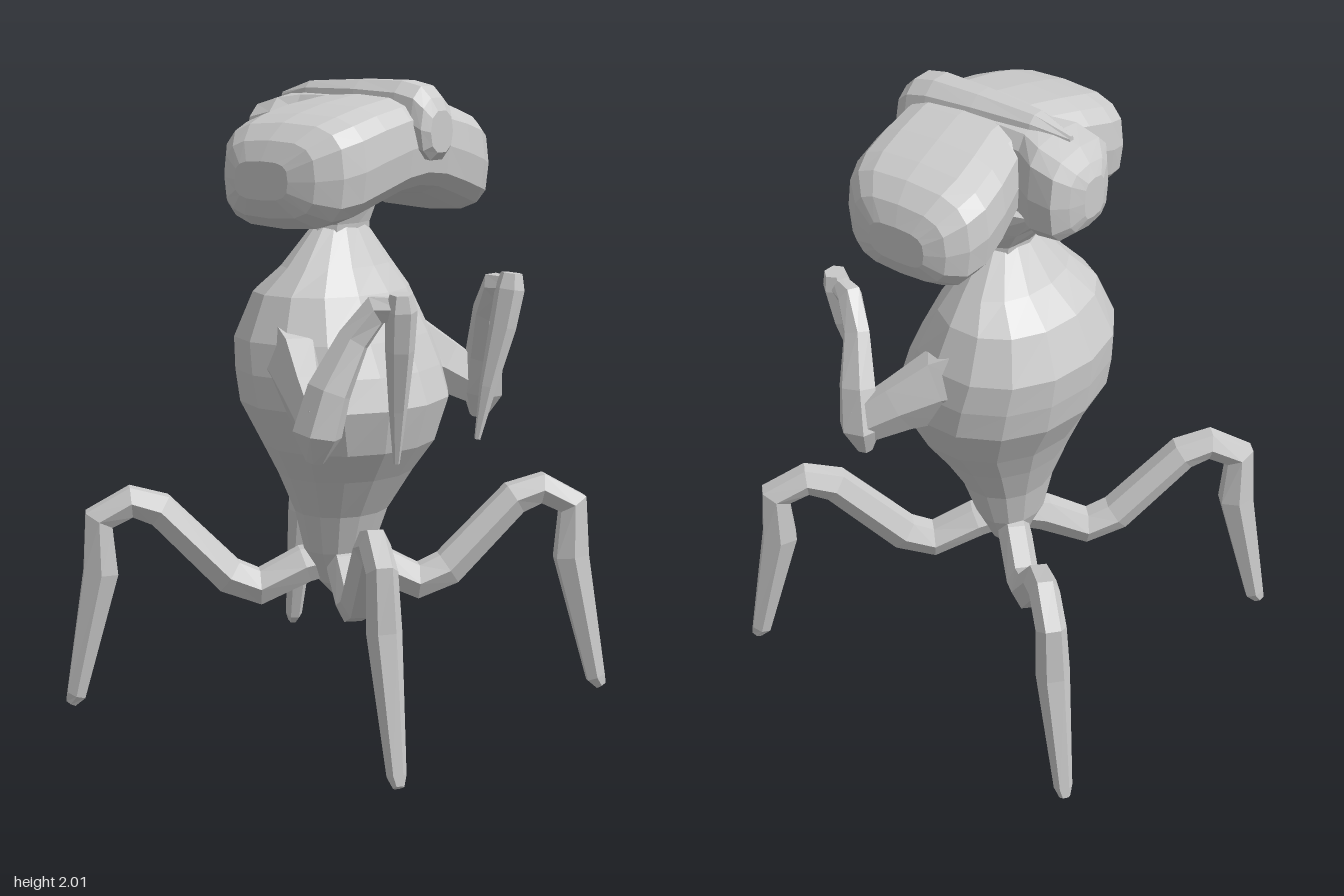
import * as THREE from 'three';

const grey = new THREE.MeshStandardMaterial({ color: 0xcccccc, flatShading: true });
const V = (x, y, z) => new THREE.Vector3(x, y, z);

// Skin a list of equal-sized rings and close both ends with a fan.
function loft(name, rings) {
  const pos = [];
  const tri = (...pts) => pts.forEach((p) => pos.push(p.x, p.y, p.z));
  const n = rings[0].length;
  for (let i = 0; i < rings.length - 1; i++) {
    for (let j = 0; j < n; j++) {
      const k = (j + 1) % n;
      const a = rings[i][j], b = rings[i][k], c = rings[i + 1][k], d = rings[i + 1][j];
      tri(a, b, c);
      tri(a, c, d);
    }
  }
  const center = (ring) => ring.reduce((s, p) => s.add(p), V(0, 0, 0)).divideScalar(n);
  const first = rings[0], last = rings[rings.length - 1];
  const c0 = center(first), c1 = center(last);
  for (let j = 0; j < n; j++) {
    const k = (j + 1) % n;
    tri(c0, first[k], first[j]);
    tri(c1, last[j], last[k]);
  }
  const geo = new THREE.BufferGeometry();
  geo.setAttribute('position', new THREE.Float32BufferAttribute(pos, 3));
  geo.computeVertexNormals();
  const mesh = new THREE.Mesh(geo, grey);
  mesh.name = name;
  return mesh;
}

// Rounded-square section between [a0,a1] and [b0,b1]; power 2 is an ellipse.
function section(a0, a1, b0, b1, sides, power, place) {
  const f = (t) => Math.sign(t) * Math.abs(t) ** (2 / power);
  return Array.from({ length: sides }, (_, j) => {
    const t = (j / sides) * Math.PI * 2;
    return place(
      (a0 + a1) / 2 + (f(Math.cos(t)) * (a1 - a0)) / 2,
      (b0 + b1) / 2 + (f(Math.sin(t)) * (b1 - b0)) / 2
    );
  });
}

// Jointed limb: rows of x, y, z, radius; side keeps the sections untwisted.
function limb(name, rows, side, flatten = 1) {
  const sides = 6;
  const pts = rows.map((r) => V(r[0], r[1], r[2]));
  const rings = pts.map((p, i) => {
    const t = V(0, 0, 0);
    if (i > 0) t.add(p.clone().sub(pts[i - 1]).normalize());
    if (i < pts.length - 1) t.add(pts[i + 1].clone().sub(p).normalize());
    t.normalize();
    const u = side.clone().addScaledVector(t, -side.dot(t)).normalize();
    const v = t.clone().cross(u);
    return Array.from({ length: sides }, (_, j) => {
      const a = (j / sides) * Math.PI * 2, r = rows[i][3];
      return p.clone().addScaledVector(u, Math.cos(a) * r * flatten).addScaledVector(v, Math.sin(a) * r);
    });
  });
  return loft(name, rings);
}

export function createModel() {
  const model = new THREE.Group();

  // Pear-shaped body: y, half width, back z, front z
  const body = [
    [0.33, 0.01, -0.01, 0.01], [0.39, 0.07, -0.06, 0.06], [0.5, 0.125, -0.105, 0.105],
    [0.63, 0.165, -0.13, 0.15], [0.76, 0.235, -0.175, 0.23], [0.86, 0.3, -0.215, 0.3],
    [1.0, 0.36, -0.29, 0.34], [1.1, 0.36, -0.305, 0.305], [1.2, 0.345, -0.312, 0.26],
    [1.34, 0.285, -0.25, 0.19], [1.42, 0.215, -0.155, 0.135], [1.54, 0.11, -0.07, 0.07],
  ];
  model.add(loft('body', body.map(([y, w, b, f]) =>
    section(b, f, -w, w, 14, 2.1, (z, x) => V(x, y, z)))));

  // Neck flaring up into the head
  const neck = [[1.51, 0.115, -0.07, 0.07], [1.55, 0.115, -0.075, 0.075], [1.62, 0.145, -0.13, 0.1], [1.7, 0.15, -0.2, 0.12]];
  model.add(loft('neck', neck.map(([y, w, b, f]) =>
    section(b, f, -w, w, 8, 2.4, (z, x) => V(x, y, z)))));

  // Broad drooping head: half-profile of x, bottom y, top y, back z, front z
  const half = [
    [0, 1.65, 1.96, -0.11, 0.35], [0.1, 1.64, 1.95, -0.11, 0.35], [0.22, 1.605, 1.93, -0.145, 0.345],
    [0.32, 1.575, 1.905, -0.16, 0.335], [0.39, 1.565, 1.88, -0.145, 0.305],
    [0.445, 1.6, 1.83, -0.1, 0.24], [0.472, 1.655, 1.77, -0.04, 0.16],
  ];
  const head = [...half.slice(1).reverse().map(([x, ...r]) => [-x, ...r]), ...half];
  model.add(loft('head', head.map(([x, y0, y1, z0, z1]) =>
    section(y0, y1, z0, z1, 16, 3.2, (y, z) => V(x, y, z)))));

  // Block behind the head: z, half width, bottom y, top y
  const block = [
    [-0.305, 0.05, 1.71, 1.84], [-0.285, 0.1, 1.67, 1.88], [-0.25, 0.148, 1.64, 1.925],
    [-0.17, 0.148, 1.63, 1.95], [-0.1, 0.105, 1.63, 1.96], [0.05, 0.1, 1.66, 1.96],
  ];
  model.add(loft('headBack', block.map(([z, w, y0, y1]) =>
    section(-w, w, y0, y1, 12, 3.2, (x, y) => V(x, y, z)))));

  // Crest that swells into a snout at the front
  const crest = [
    [-0.22, 0.01, 1.9, 1.95], [-0.1, 0.05, 1.86, 1.99], [0.1, 0.075, 1.82, 2.0], [0.26, 0.088, 1.78, 2.0],
    [0.33, 0.09, 1.76, 1.985], [0.365, 0.085, 1.755, 1.95], [0.385, 0.06, 1.78, 1.91],
  ];
  model.add(loft('crest', crest.map(([z, w, y0, y1]) =>
    section(-w, w, y0, y1, 10, 2.4, (x, y) => V(x, y, z)))));

  // Four diagonal legs: x, y, z, radius
  const leg = [
    [0.03, 0.46, 0.03, 0.06], [0.08, 0.445, 0.08, 0.065], [0.18, 0.375, 0.185, 0.064], [0.25, 0.415, 0.255, 0.064],
    [0.405, 0.64, 0.41, 0.06], [0.47, 0.67, 0.475, 0.056], [0.54, 0.615, 0.55, 0.056],
    [0.533, 0.44, 0.553, 0.063], [0.577, 0.03, 0.63, 0.035], [0.588, 0, 0.645, 0.02],
  ];
  for (const sx of [1, -1]) {
    for (const sz of [1, -1]) {
      const rows = leg.map(([x, y, z, r]) => [sx * x, y, sz * z, r]);
      const name = (sz > 0 ? 'front' : 'back') + (sx > 0 ? 'Left' : 'Right') + 'Leg';
      model.add(limb(name, rows, V(sx, 0, -sz), 0.85));
    }
  }

  // Folded arms: broad shoulder, raised forearm, short wrist and hanging claw
  const upperArm = [[0.19, 1.17, -0.1, 0.16], [0.29, 1.12, 0.05, 0.13], [0.38, 1.055, 0.15, 0.095], [0.45, 0.99, 0.24, 0.075]];
  const forearm = [[0.445, 0.885, 0.24, 0.03], [0.45, 0.97, 0.25, 0.078], [0.425, 1.1, 0.275, 0.07],
    [0.365, 1.25, 0.32, 0.052], [0.325, 1.34, 0.375, 0.05], [0.295, 1.345, 0.46, 0.038]];
  const claw = [[0.305, 1.39, 0.45, 0.035], [0.3, 1.34, 0.447, 0.048], [0.285, 1.22, 0.432, 0.044],
    [0.25, 1.03, 0.402, 0.028], [0.225, 0.86, 0.38, 0.01]];
  for (const s of [1, -1]) {
    const arm = new THREE.Group();
    arm.name = s > 0 ? 'leftArm' : 'rightArm';
    const flip = (rows) => rows.map(([x, ...rest]) => [s * x, ...rest]);
    arm.add(limb('upperArm', flip(upperArm), V(s, 0, -0.8), 0.65));
    arm.add(limb('forearm', flip(forearm), V(s, 0, 0.3), 0.8));
    arm.add(limb('claw', flip(claw), V(s, 0, 0.2)));
    model.add(arm);
  }
  return model;
}
